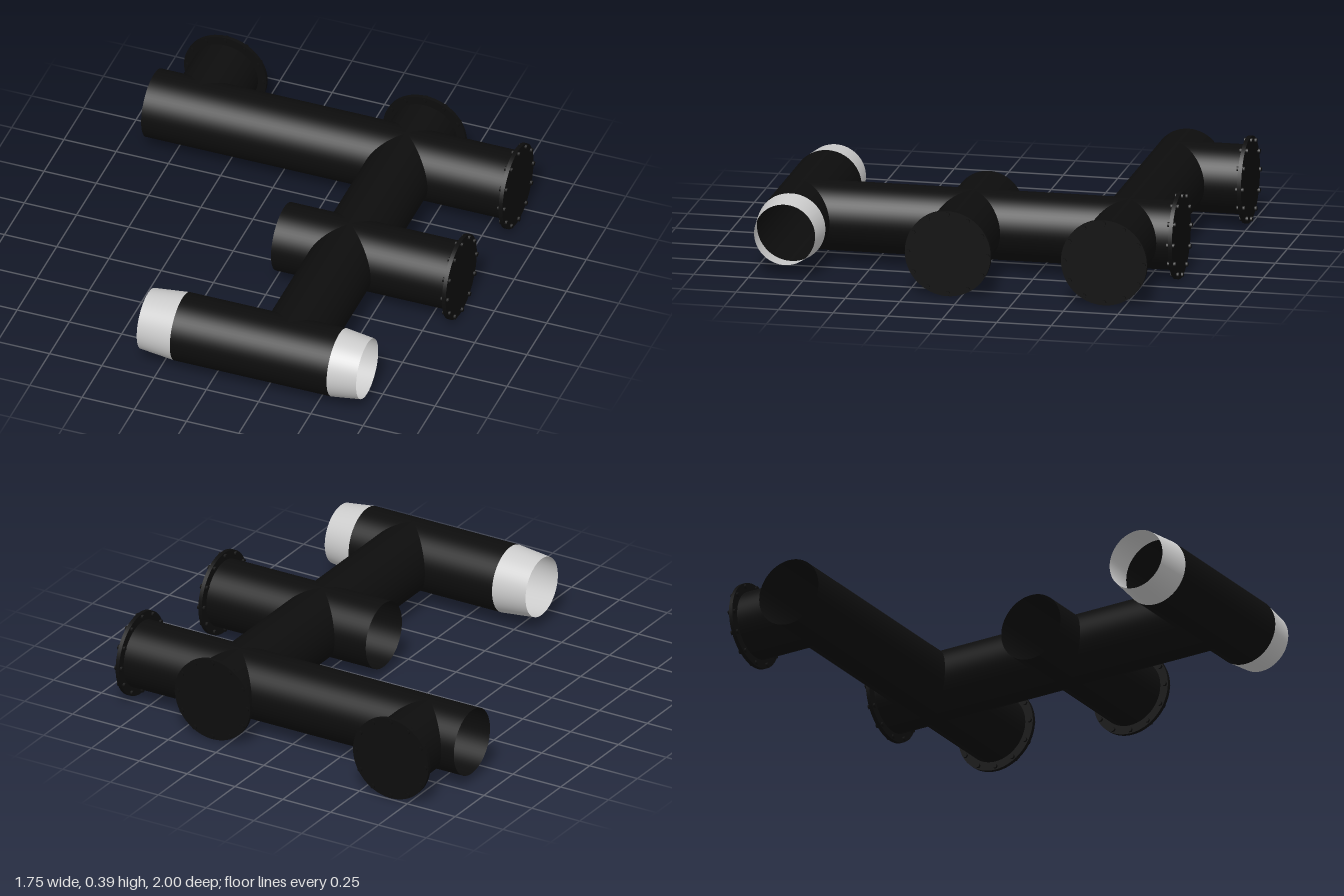
import * as THREE from 'three';

const R = 0.157; // pipe radius
const Y = 0.2; // height of every pipe axis
const SEG = 64;
const BACK = -0.656, MID = 0.06, FRONT = 0.842; // z of the cross pipes
const STEM = 0.333, SIDE = -0.657; // x of the stem and of the side outlet

export function createModel() {
  const model = new THREE.Group();
  const black = new THREE.MeshStandardMaterial({ color: 0x0d0d0d, side: THREE.DoubleSide });
  black.name = 'black pipe';
  const light = new THREE.MeshStandardMaterial({ color: 0xcccccc, side: THREE.DoubleSide });
  light.name = 'light grey end';

  const add = (parent, name, geometry, material) => {
    const mesh = new THREE.Mesh(geometry, material);
    mesh.name = name;
    parent.add(mesh);
    return mesh;
  };

  // open pipe along x, radius r0 at x0 and r1 at x1
  function pipeX(name, x0, x1, z, material = black, r0 = R, r1 = R) {
    const g = new THREE.CylinderGeometry(r1, r0, x1 - x0, SEG, 1, true);
    g.rotateZ(-Math.PI / 2);
    add(model, name, g, material).position.set((x0 + x1) / 2, Y, z);
  }

  // open pipe along z; an end marked +1 or -1 is cut to saddle on a cross pipe's axis
  function pipeZ(name, x, z0, z1, cut0 = 0, cut1 = 0) {
    const g = new THREE.CylinderGeometry(R, R, z1 - z0, SEG, 1, true);
    g.rotateX(Math.PI / 2);
    g.translate(0, 0, (z0 + z1) / 2);
    const p = g.attributes.position, middle = (z0 + z1) / 2;
    for (let i = 0; i < p.count; i++) {
      const z = p.getZ(i), dx = Math.abs(p.getX(i));
      p.setZ(i, z + dx * (z < middle ? cut0 : cut1));
    }
    add(model, name, g, black).position.set(x, Y, 0);
  }

  // blind flange with a ring of twelve bolts, outward along local +y
  function flange(name, x, z, alongX) {
    const group = new THREE.Group();
    group.name = name;
    add(group, 'flangeDisc', new THREE.CylinderGeometry(0.197, 0.197, 0.018, SEG), black);
    for (let i = 0; i < 12; i++) {
      const a = (i * Math.PI) / 6;
      add(group, 'flangeBolt', new THREE.CylinderGeometry(0.011, 0.011, 0.038, 6), black)
        .position.set(Math.cos(a) * 0.182, 0, Math.sin(a) * 0.182);
    }
    if (alongX) group.rotation.z = -Math.PI / 2;
    else group.rotation.x = -Math.PI / 2;
    group.position.set(x, Y, z);
    model.add(group);
  }

  // cross pipes
  pipeX('backPipe', -0.88, 0.86, BACK);
  pipeX('middlePipe', 0.013, 0.86, MID);
  pipeX('frontPipe', -0.175, 0.575, FRONT);

  // tapered light ends of the front pipe
  pipeX('rightTaperedEnd', -0.34, -0.175, FRONT, light, 0.14, R);
  pipeX('leftTaperedEnd', 0.575, 0.71, FRONT, light, R, 0.14);

  // stem sections between the cross pipes, and the rear outlets
  pipeZ('frontStem', STEM, MID, FRONT, 1, -1);
  pipeZ('backStem', STEM, BACK, MID, 1, -1);
  pipeZ('stemOutlet', STEM, -0.89, BACK, 0, -1);
  pipeZ('sideOutlet', SIDE, -0.985, BACK, 0, -1);

  // bolted flanges
  flange('backPipeFlange', 0.855, BACK, true);
  flange('middlePipeFlange', 0.855, MID, true);
  flange('stemFlange', STEM, -0.884, false);
  flange('sideOutletFlange', SIDE, -0.981, false);

  return model;
}
